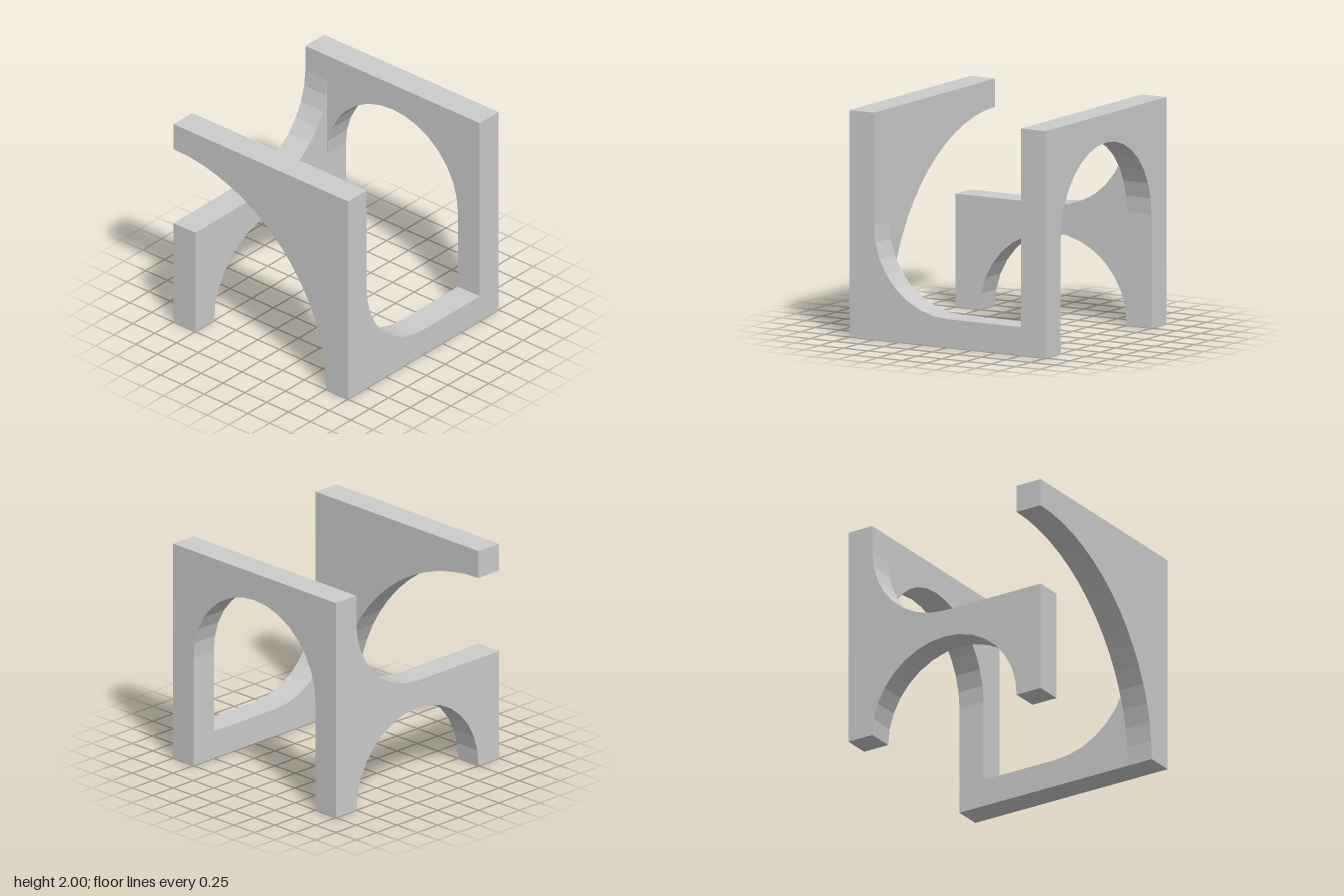
import * as THREE from 'three';

const T = 0.25; // wall thickness
const R = 0.75; // radius of the smaller arcs

// Points along an arc, angles in degrees
function arc(cx, cy, r, from, to, steps) {
  const points = [];
  for (let i = 0; i <= steps; i++) {
    const a = THREE.MathUtils.degToRad(from + ((to - from) * i) / steps);
    points.push([cx + r * Math.cos(a), cy + r * Math.sin(a)]);
  }
  return points;
}

export function createModel() {
  const group = new THREE.Group();
  const material = new THREE.MeshStandardMaterial({ color: 0xcccccc, flatShading: true });

  const slab = (outline) => new THREE.ExtrudeGeometry(
    new THREE.Shape(outline.map(([u, v]) => new THREE.Vector2(u, v))),
    { depth: T, bevelEnabled: false },
  );
  const add = (name, geometry) => {
    const mesh = new THREE.Mesh(geometry, material);
    mesh.name = name;
    group.add(mesh);
  };
  // Outline in (x, y), wall from z to z + T
  const crossWall = (name, z, outline) => add(name, slab(outline).translate(0, 0, z));
  // Outline in (z, y), wall from x to x + T
  const sideWall = (name, x, outline) =>
    add(name, slab(outline).rotateY(-Math.PI / 2).translate(x + T, 0, 0));

  // Front wall: one leg and a wide quarter arch, open on the right
  crossWall('frontWall', 1 - T, [
    [-1, 2], ...arc(-1, 0, 1.75, 90, 0, 16), [1, 0], [1, 2],
  ]);

  // Back wall: two legs joined by a round arch
  crossWall('backWall', -1, [
    [-1, 0], [-1, 2], [1, 2], [1, 0], [R, 0], ...arc(0, 1, R, 0, 180, 16), [-R, 0],
  ]);

  // Left wall: low sill sweeping up into the front wall
  sideWall('leftWall', 1 - T, [
    [-R, 0], [R, 0], ...arc(0, 1, R, 0, -90, 8), [-R, 0.25],
  ]);

  // Right wall: low arch below, top sweeping up into the back wall
  sideWall('rightWall', -1, [
    [1, 0], [1, 1], ...arc(0, 1.75, R, -90, -180, 8), ...arc(0, 0, R, 180, 0, 16),
  ]);

  return group;
}
